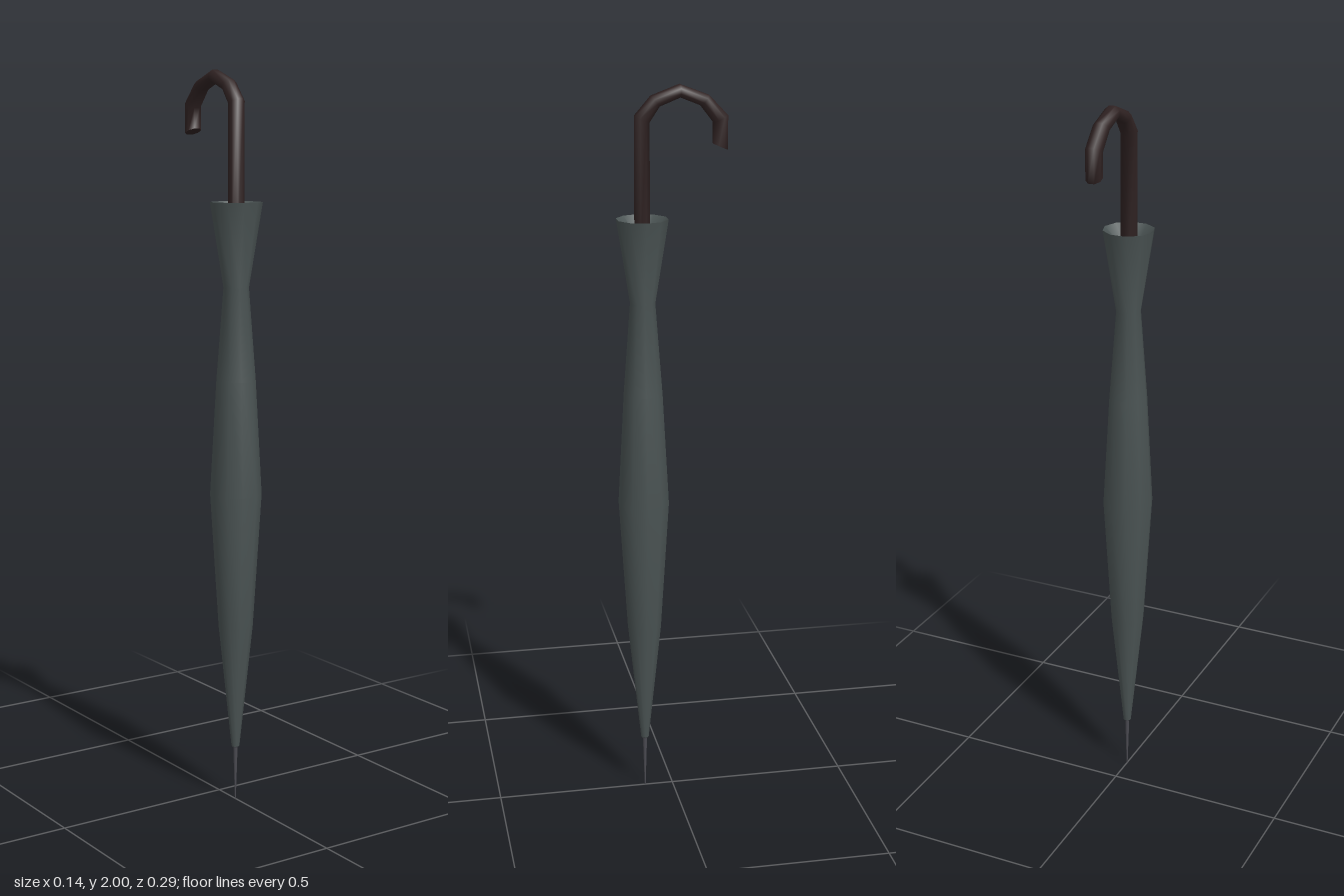
import * as THREE from 'three';

const AXIS_Z = 0.08; // the shaft stands forward so the whole model is centred

const fabric = new THREE.MeshStandardMaterial({ color: 0x4a5353 });
fabric.name = 'dark grey fabric';
const wood = new THREE.MeshStandardMaterial({ color: 0x2f2222 });
wood.name = 'dark brown wood';
const metal = new THREE.MeshStandardMaterial({ color: 0x4b4b52 });
metal.name = 'grey metal';

// Ten-sided turned part around the shaft axis; points are [radius, height]
function turned(name, points, material) {
  const profile = points.map(([r, y]) => new THREE.Vector2(r, y));
  const mesh = new THREE.Mesh(new THREE.LatheGeometry(profile, 10, Math.PI / 2), material);
  mesh.name = name;
  mesh.position.z = AXIS_Z;
  return mesh;
}

// Eight-sided rod bent along rings of [z, y, tilt in degrees, in-plane radius]
function bentRod(rings, width) {
  const n = rings.length - 1;
  const geo = new THREE.CylinderGeometry(1, 1, 1, 8, n, false, Math.PI / 8);
  const pos = geo.attributes.position;
  const nor = geo.attributes.normal;
  for (let i = 0; i < pos.count; i++) {
    const [z, y, tilt, r] = rings[Math.round((pos.getY(i) + 0.5) * n)];
    const a = THREE.MathUtils.degToRad(tilt);
    const s = Math.sin(a), c = Math.cos(a);
    const px = pos.getX(i), pz = pos.getZ(i);
    const nx = nor.getX(i), ny = nor.getY(i), nz = nor.getZ(i);
    pos.setXYZ(i, px * width, y + pz * r * s, z + pz * r * c);
    nor.setXYZ(i, nx, ny * c + nz * s, nz * c - ny * s);
  }
  return geo;
}

export function createModel() {
  const group = new THREE.Group();
  group.name = 'closedUmbrella';

  // Rolled canopy, flaring out above its tied neck
  group.add(turned('canopy', [
    [0.011, 0.155], [0.047, 0.5], [0.07, 0.87], [0.053, 1.18], [0.034, 1.43], [0.07, 1.655],
  ], fabric));

  // Sunken inside of the flared end
  group.add(turned('canopyInside', [[0.07, 1.655], [0.018, 1.6]], fabric));

  // Pointed tip
  group.add(turned('tip', [[0, 0], [0.0015, 0], [0.006, 0.15], [0.011, 0.155]], metal));

  // Shaft and crook handle
  const handle = new THREE.Mesh(bentRod([
    [AXIS_Z, 1.56, 0, 0.0215],
    [AXIS_Z, 1.913, 25, 0.0225],
    [0.045, 1.958, 51, 0.0185],
    [-0.02, 1.983, 90, 0.018],
    [-0.085, 1.958, 129, 0.0185],
    [-0.127, 1.91, 155, 0.0225],
    [-0.127, 1.838, 203, 0.0225],
  ], 0.0225), wood);
  handle.name = 'handle';
  group.add(handle);

  return group;
}
